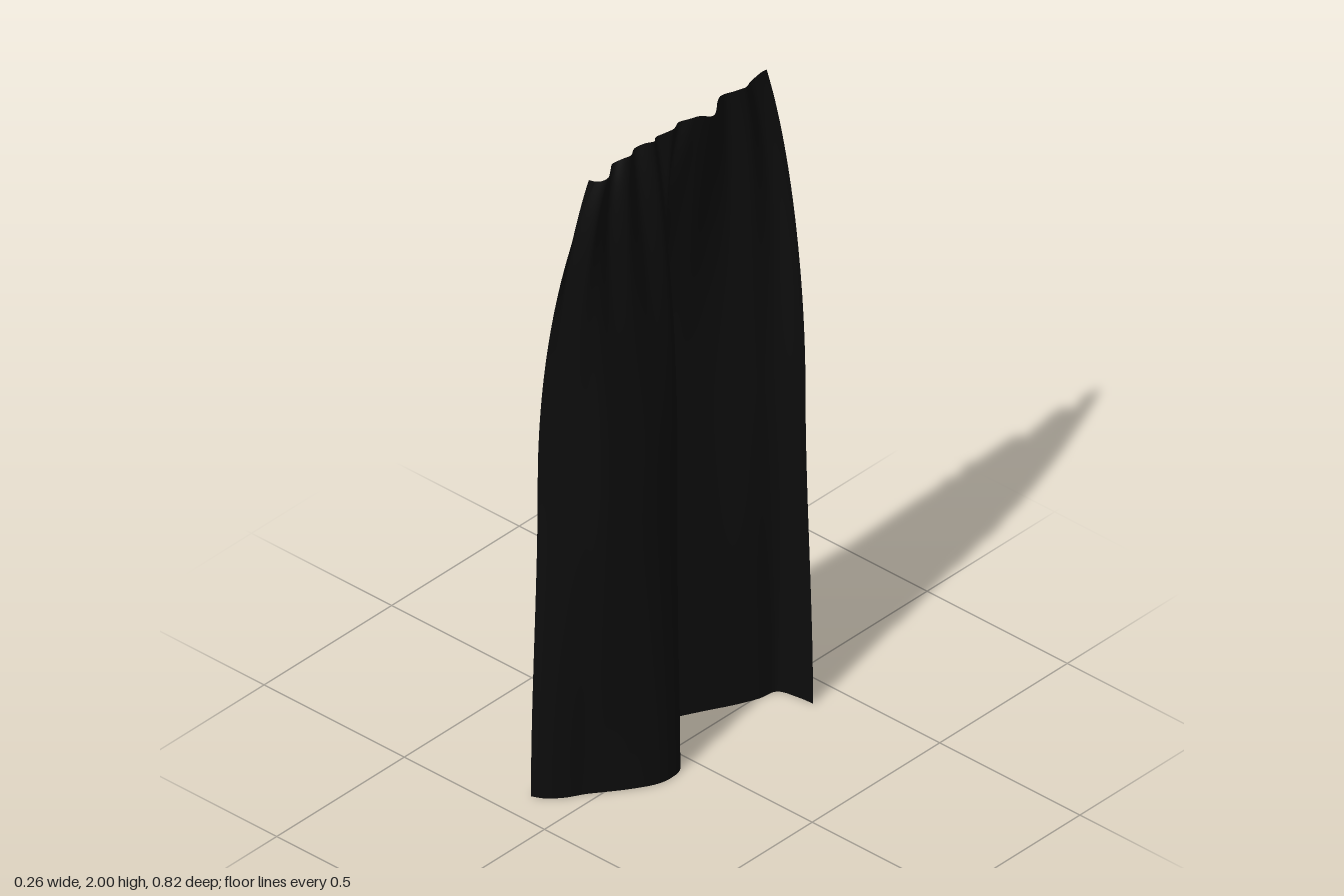
import * as THREE from 'three';

// Horizontal profiles of the cloth as (x, z) pairs, running front to back.
const profile = (pts) => {
  const curve = new THREE.SplineCurve(pts.map(([x, z]) => new THREE.Vector2(x, z)));
  curve.arcLengthDivisions = 400;
  return curve;
};

// Gathered heading with small pleats
const heading = profile([
  [0.03, 0.335], [0, 0.325], [0.035, 0.29], [0.01, 0.25], [-0.01, 0.22], [0.015, 0.18],
  [-0.015, 0.13], [0.015, 0.09], [-0.01, 0.05], [0.015, 0.01], [-0.012, -0.04], [0.02, -0.07],
  [0.035, -0.125], [0.01, -0.17], [-0.01, -0.22], [0.025, -0.26], [0, -0.31], [0.01, -0.36],
]);

// Broad S fold half way down
const middle = profile([
  [-0.115, 0.4], [-0.06, 0.375], [0, 0.335], [0.04, 0.3], [0.065, 0.24], [0.086, 0.17],
  [0.086, 0.1], [0.07, 0.055], [0.025, 0.028], [-0.04, 0.015], [-0.09, -0.015], [-0.113, -0.06],
  [-0.085, -0.13], [-0.04, -0.22], [0.015, -0.29], [0.05, -0.345], [0.1, -0.38], [0.115, -0.397],
]);

// Hem
const hem = profile([
  [-0.13, 0.41], [-0.095, 0.392], [-0.06, 0.355], [-0.03, 0.305], [0, 0.265], [0.04, 0.21],
  [0.075, 0.15], [0.086, 0.1], [0.075, 0.05], [0.025, 0.022], [-0.02, 0.035], [-0.07, 0.022],
  [-0.108, -0.01], [-0.12, -0.05], [-0.1, -0.11], [-0.06, -0.19], [-0.02, -0.265], [0.008, -0.33],
  [0.022, -0.388], [0.08, -0.405], [0.13, -0.41],
]);

export function createModel() {
  const group = new THREE.Group();
  group.name = 'curtain';

  const cols = 200, rows = 60;
  const geometry = new THREE.PlaneGeometry(1, 1, cols, rows);
  const pos = geometry.attributes.position;
  const lerp = THREE.MathUtils.lerp;

  for (let i = 0; i <= cols; i++) {
    const u = i / cols;
    const a = heading.getPointAt(u), b = middle.getPointAt(u), c = hem.getPointAt(u);
    // Shallow scallops along the upper edge
    const topY = 1.992 + 0.008 * Math.cos(u * Math.PI * 16);
    for (let j = 0; j <= rows; j++) {
      const y = 2 * (1 - j / rows);
      let x, z;
      if (y > 1) {
        // The gathers open out into the broad fold
        const t = 2 - y;
        x = lerp(a.x, b.x, Math.sin(t * Math.PI / 2));
        z = lerp(a.y, b.y, 1 - (1 - t) ** 5);
      } else {
        const s = THREE.MathUtils.smoothstep(1 - y, 0, 1);
        x = lerp(b.x, c.x, s);
        z = lerp(b.y, c.y, s);
      }
      pos.setXYZ(j * (cols + 1) + i, x, y * topY / 2, z);
    }
  }
  geometry.computeVertexNormals();

  const cloth = new THREE.Mesh(
    geometry,
    new THREE.MeshStandardMaterial({ color: 0x0c0c0c, side: THREE.DoubleSide }),
  );
  cloth.name = 'curtainCloth';
  group.add(cloth);
  return group;
}
